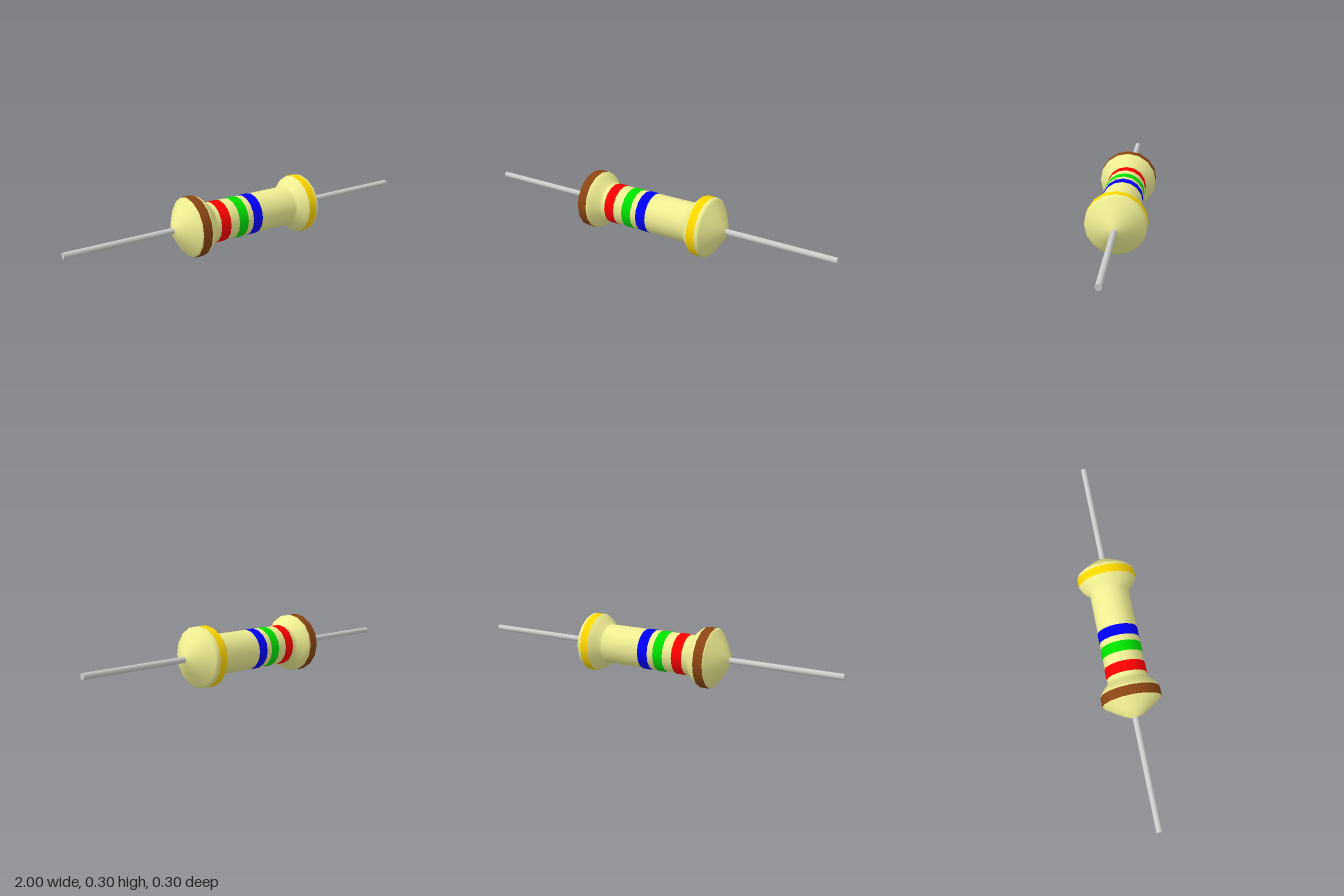
import * as THREE from 'three';

const SIDES = 16;
const AXIS_Y = 0.152;

export function createModel() {
  const model = new THREE.Group();
  model.name = 'resistor';

  // Turned part along the x axis from [x, radius] points
  const turned = (name, color, points) => {
    const geometry = new THREE.LatheGeometry(points.map(([x, r]) => new THREE.Vector2(r, x)), SIDES);
    geometry.rotateZ(-Math.PI / 2);
    const mesh = new THREE.Mesh(geometry, new THREE.MeshStandardMaterial({ color }));
    mesh.name = name;
    mesh.position.y = AXIS_Y;
    model.add(mesh);
  };

  // Ceramic body: slim barrel with flared ends tapering to the leads
  const half = [
    [0.238, 0.102], [0.252, 0.107], [0.275, 0.132], [0.297, 0.148], [0.304, 0.151],
    [0.352, 0.151], [0.362, 0.141], [0.4, 0.086], [0.425, 0.045], [0.438, 0.012],
  ];
  const mirrored = half.map(([x, r]) => [-x, r]).reverse();
  turned('body', 0xf0ee92, [...mirrored, ...half]);

  // Colour bands: [name, colour, start, end, radius]
  const bands = [
    ['brownBand', 0x8b4513, -0.357, -0.307, 0.152],
    ['redBand', 0xff0000, -0.222, -0.166, 0.104],
    ['greenBand', 0x00e000, -0.115, -0.061, 0.104],
    ['blueBand', 0x0000ff, -0.029, 0.027, 0.104],
    ['goldBand', 0xffd700, 0.297, 0.34, 0.152],
  ];
  for (const [name, color, start, end, radius] of bands) {
    turned(name, color, [[start, radius], [end, radius]]);
  }

  // Wire leads
  for (const side of [-1, 1]) {
    const lead = new THREE.Mesh(
      new THREE.CylinderGeometry(0.015, 0.015, 0.58, SIDES),
      new THREE.MeshStandardMaterial({ color: 0xcccccc }),
    );
    lead.name = side > 0 ? 'leftLead' : 'rightLead';
    lead.rotation.z = -Math.PI / 2;
    lead.position.set(side * 0.71, AXIS_Y, 0);
    model.add(lead);
  }

  return model;
}
